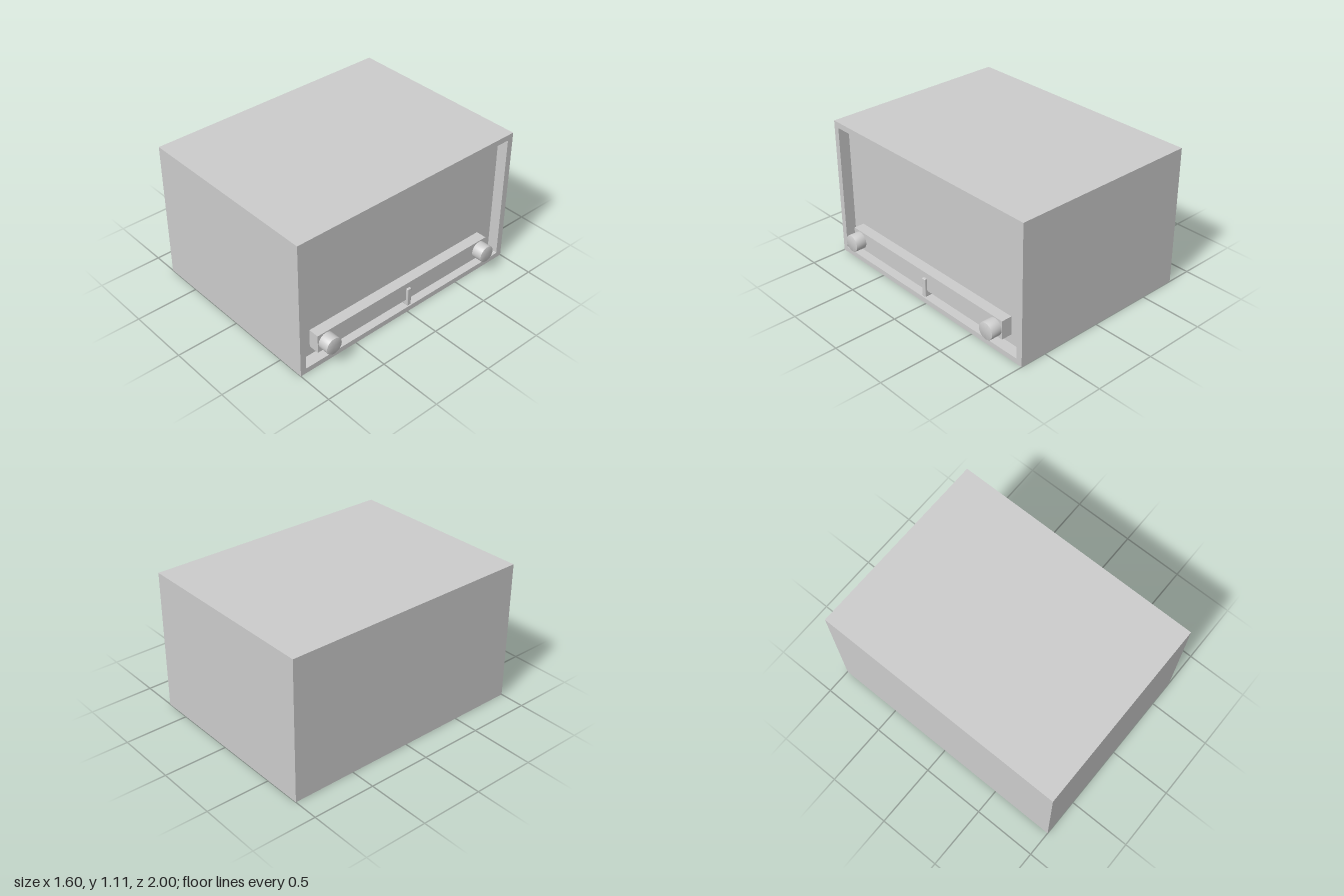
import * as THREE from 'three';
import { RoundedBoxGeometry } from 'three/addons/geometries/RoundedBoxGeometry.js';
import { toCreasedNormals } from 'three/addons/utils/BufferGeometryUtils.js';

const BACK = -0.8, FLOOR = 0.627, FACE = 0.715; // x of rear side, recess floor, rim face
const HEIGHT = 1.105;

export function createModel() {
  const group = new THREE.Group();
  const material = new THREE.MeshStandardMaterial({ color: 0xcccccc });

  const add = (name, geometry, x = 0, y = 0, z = 0) => {
    const mesh = new THREE.Mesh(geometry, material);
    mesh.name = name;
    mesh.position.set(x, y, z);
    group.add(mesh);
    return mesh;
  };

  // Box given by its x, y and z ranges
  const addBox = (name, [x0, x1], [y0, y1], [z0, z1]) =>
    add(name, new THREE.BoxGeometry(x1 - x0, y1 - y0, z1 - z0),
      (x0 + x1) / 2, (y0 + y1) / 2, (z0 + z1) / 2);

  // Cabinet: solid body whose +x side is the recessed panel
  addBox('cabinetBody', [BACK, FLOOR], [0, HEIGHT], [-1, 1]);

  // Rim around the recess, drawn with shape x = -z and extruded towards +x
  const rim = new THREE.Shape();
  rim.moveTo(-1, 0).lineTo(1, 0).lineTo(1, HEIGHT).lineTo(-1, HEIGHT).closePath();
  const opening = new THREE.Path();
  const l = -0.953, r = 0.95, b = 0.042, t = 1.06, c = 0.006;
  opening.moveTo(l + c, b);
  opening.lineTo(r - c, b).quadraticCurveTo(r, b, r, b + c);
  opening.lineTo(r, t - c).quadraticCurveTo(r, t, r - c, t);
  opening.lineTo(l + c, t).quadraticCurveTo(l, t, l, t - c);
  opening.lineTo(l, b + c).quadraticCurveTo(l, b, l + c, b);
  rim.holes.push(opening);
  const rimGeometry = new THREE.ExtrudeGeometry(rim, {
    depth: FACE - FLOOR, bevelEnabled: false, curveSegments: 4,
  });
  rimGeometry.rotateY(Math.PI / 2);
  add('recessRim', rimGeometry, FLOOR, 0, 0);

  // Control bar inside the recess
  addBox('controlBar', [FLOOR, 0.712], [0.117, 0.265], [-0.805, 0.845]);

  // Round knobs with a softened outer edge
  const radius = 0.067, length = 0.088, edge = 0.005;
  const profile = [[0, 0], [radius, 0], [radius, length - edge],
    [radius - edge * 0.3, length - edge * 0.3], [radius - edge, length], [0, length]]
    .map(([x, y]) => new THREE.Vector2(x, y));
  const knobGeometry = toCreasedNormals(new THREE.LatheGeometry(profile, 32), 0.6);
  knobGeometry.rotateZ(-Math.PI / 2);
  add('leftKnob', knobGeometry, 0.71, 0.19, 0.77);
  add('rightKnob', knobGeometry, 0.71, 0.19, -0.735);

  // Latch lever at the middle of the bar
  add('latchLever', new RoundedBoxGeometry(0.08, 0.15, 0.036, 3, 0.006), 0.69, 0.145, 0);

  return group;
}
